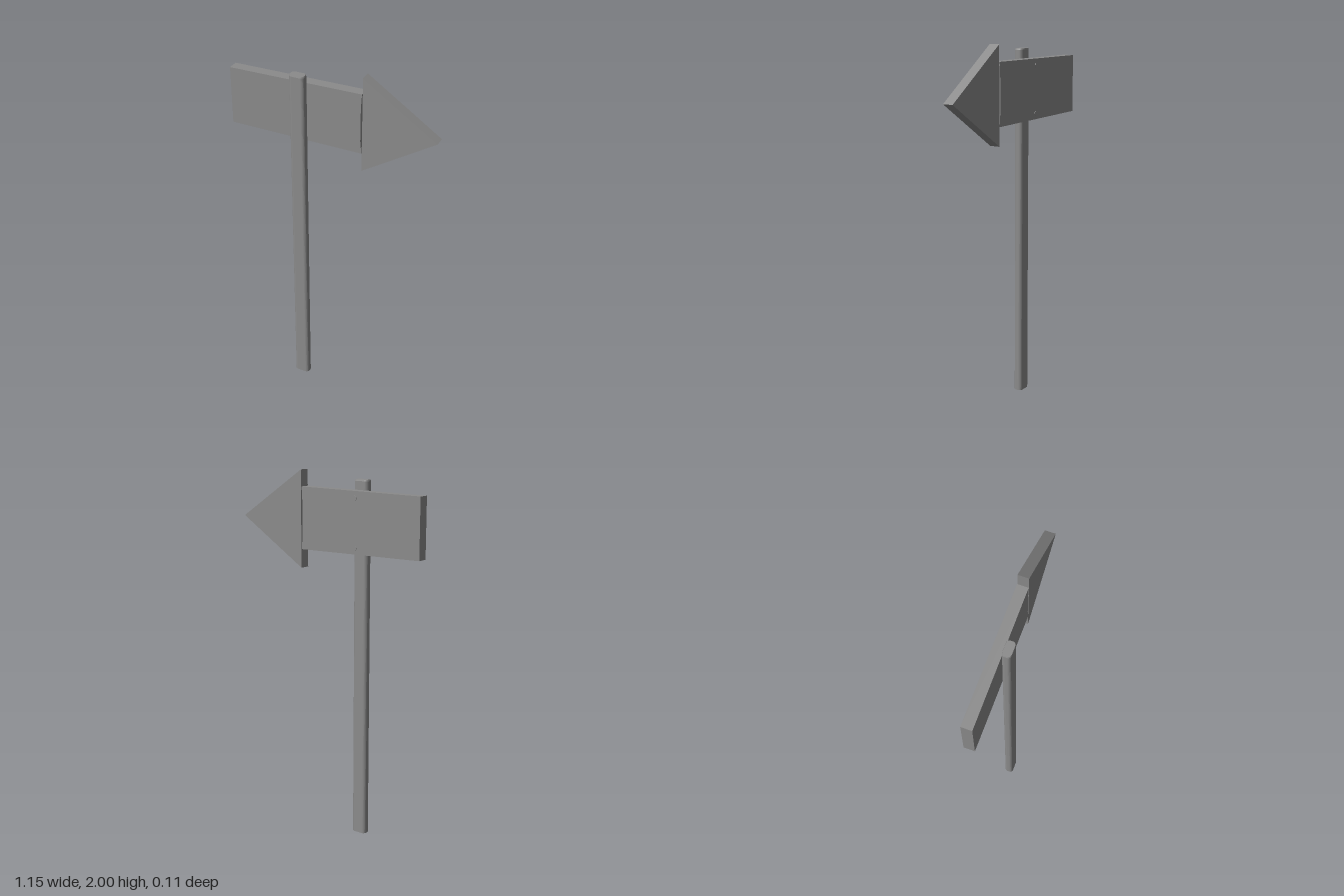
import * as THREE from 'three';

const material = new THREE.MeshStandardMaterial({ color: 0x8b8b8b, flatShading: true });

// Flat plank cut from an outline in the xy plane, between two z depths
function plank(name, points, back, front) {
  const shape = new THREE.Shape(points.map(([x, y]) => new THREE.Vector2(x, y)));
  const geometry = new THREE.ExtrudeGeometry(shape, { depth: front - back, bevelEnabled: false });
  geometry.translate(0, 0, back);
  const mesh = new THREE.Mesh(geometry, material);
  mesh.name = name;
  return mesh;
}

// Upright post: rounded rectangle section with a softened top edge
function post(width, depth, radius, height) {
  const w = width / 2, d = depth / 2, r = radius;
  const section = new THREE.Shape();
  section.absarc(w - r, d - r, r, 0, Math.PI / 2);
  section.absarc(r - w, d - r, r, Math.PI / 2, Math.PI);
  section.absarc(r - w, r - d, r, Math.PI, Math.PI * 1.5);
  section.absarc(w - r, r - d, r, Math.PI * 1.5, Math.PI * 2);
  const geometry = new THREE.ExtrudeGeometry(section, {
    depth: height, steps: 2, curveSegments: 3, bevelEnabled: false,
  });
  geometry.rotateX(-Math.PI / 2);
  // Raise the middle ring to the shoulder and draw the top ring inwards
  const p = geometry.attributes.position;
  for (let i = 0; i < p.count; i++) {
    const y = p.getY(i);
    if (y > height * 0.9) {
      p.setX(i, p.getX(i) * 0.94);
      p.setZ(i, p.getZ(i) * 0.92);
    } else if (y > height * 0.1) {
      p.setY(i, height - 0.008);
    }
  }
  geometry.computeVertexNormals();
  const mesh = new THREE.Mesh(geometry, material);
  mesh.name = 'post';
  return mesh;
}

export function createModel() {
  const model = new THREE.Group();
  model.name = 'arrowSign';

  const pole = post(0.086, 0.049, 0.019, 1.96);
  pole.position.set(-0.17, 0, 0.03);
  model.add(pole);

  // Board flares slightly towards the arrow head, leaving a thin gap at the joint
  model.add(plank('board', [
    [-0.577, 1.583], [0.172, 1.576], [0.165, 1.645], [0.165, 1.83], [0.17, 1.911], [-0.577, 1.902],
  ], -0.054, 0.004));
  model.add(plank('arrowHead', [[0.174, 1.474], [0.577, 1.731], [0.174, 2]], -0.054, 0.004));

  // Nail heads on the back of the board
  for (const y of [1.612, 1.87]) {
    const nail = new THREE.Mesh(new THREE.CylinderGeometry(0.012, 0.014, 0.006, 10), material);
    nail.name = 'nail';
    nail.rotation.x = -Math.PI / 2;
    nail.position.set(-0.18, y, -0.053);
    model.add(nail);
  }
  return model;
}
